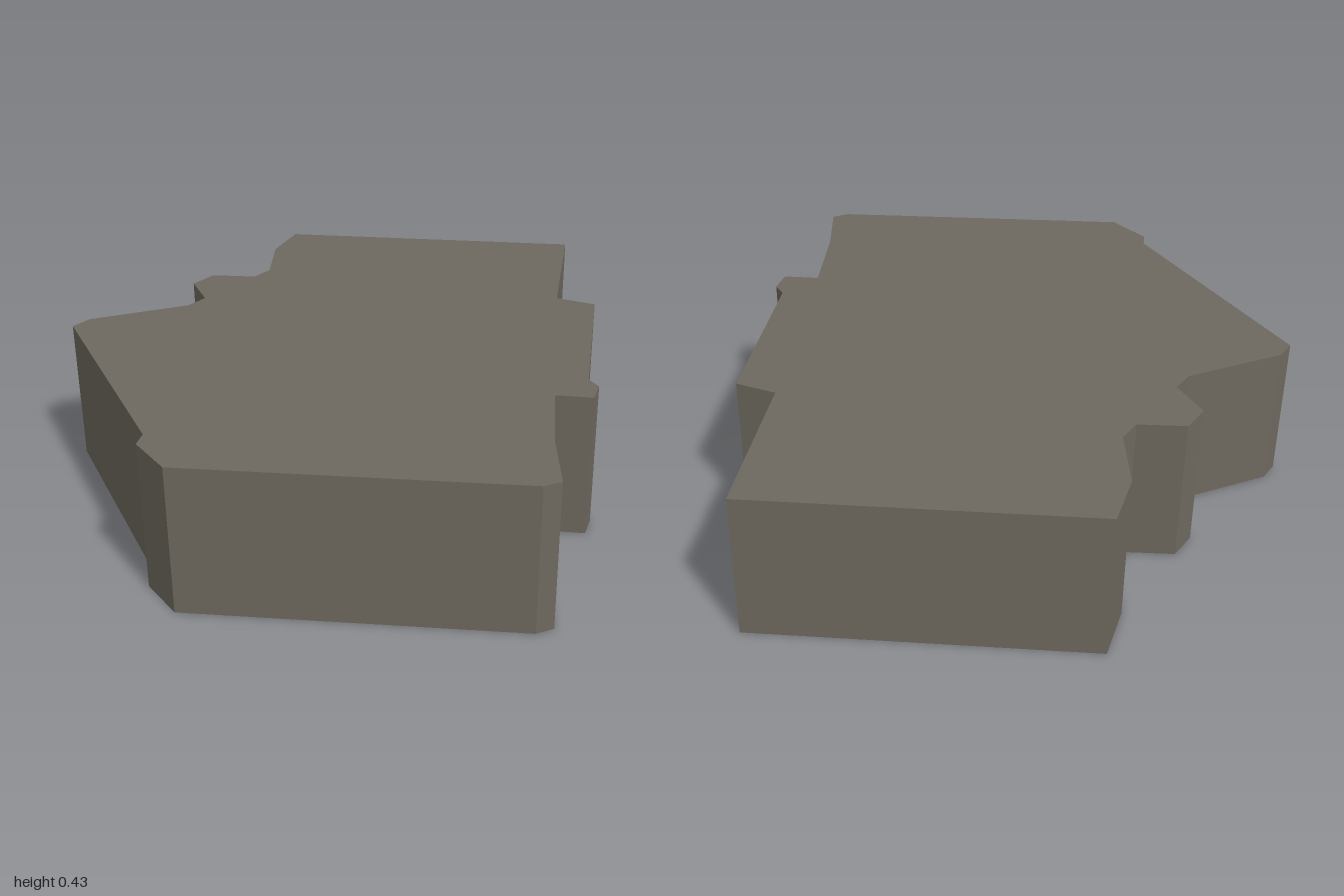
import * as THREE from 'three';

const HEIGHT = 0.43;

// Footprint as (x, z), clockwise seen from above, starting at the back right corner.
const OUTLINE = [
  [-0.524, -0.847], [-0.455, -0.847], [-0.193, -0.682], [-0.118, -0.682],
  [-0.047, -0.8], [0.047, -0.8], [0.118, -0.682], [0.193, -0.682],
  [0.36, -0.8], [0.523, -0.847], [1, -0.012], [0.545, 0.222],
  [0.57, 0.345], [0.07, 0.604], [0.047, 0.65], [-0.024, 0.674],
  [-0.074, 0.58], [-0.31, 0.72], [-0.478, 0.841], [-0.525, 0.815],
  [-1, 0.008], [-0.952, -0.134], [-0.904, -0.158],
];

// One flat quad per outline edge, facing outward
function wallGeometry(points, height) {
  const positions = [];
  points.forEach(([ax, az], i) => {
    const [bx, bz] = points[(i + 1) % points.length];
    positions.push(
      ax, 0, az, ax, height, az, bx, height, bz,
      ax, 0, az, bx, height, bz, bx, 0, bz,
    );
  });
  const geometry = new THREE.BufferGeometry();
  geometry.setAttribute('position', new THREE.Float32BufferAttribute(positions, 3));
  geometry.computeVertexNormals();
  return geometry;
}

// Flat slab face laid over the walls
function roofGeometry(points, height) {
  const shape = new THREE.Shape(points.map(([x, z]) => new THREE.Vector2(x, -z)));
  return new THREE.ShapeGeometry(shape).rotateX(-Math.PI / 2).translate(0, height, 0);
}

export function createModel() {
  const stone = new THREE.MeshStandardMaterial({ color: 0x6e695f, side: THREE.DoubleSide });
  stone.name = 'warm grey stone';

  const group = new THREE.Group();
  group.name = 'notchedBlock';

  // Shell open underneath: walls plus a flat roof
  const walls = new THREE.Mesh(wallGeometry(OUTLINE, HEIGHT), stone);
  walls.name = 'walls';
  const roof = new THREE.Mesh(roofGeometry(OUTLINE, HEIGHT), stone);
  roof.name = 'roof';

  group.add(walls, roof);
  return group;
}
